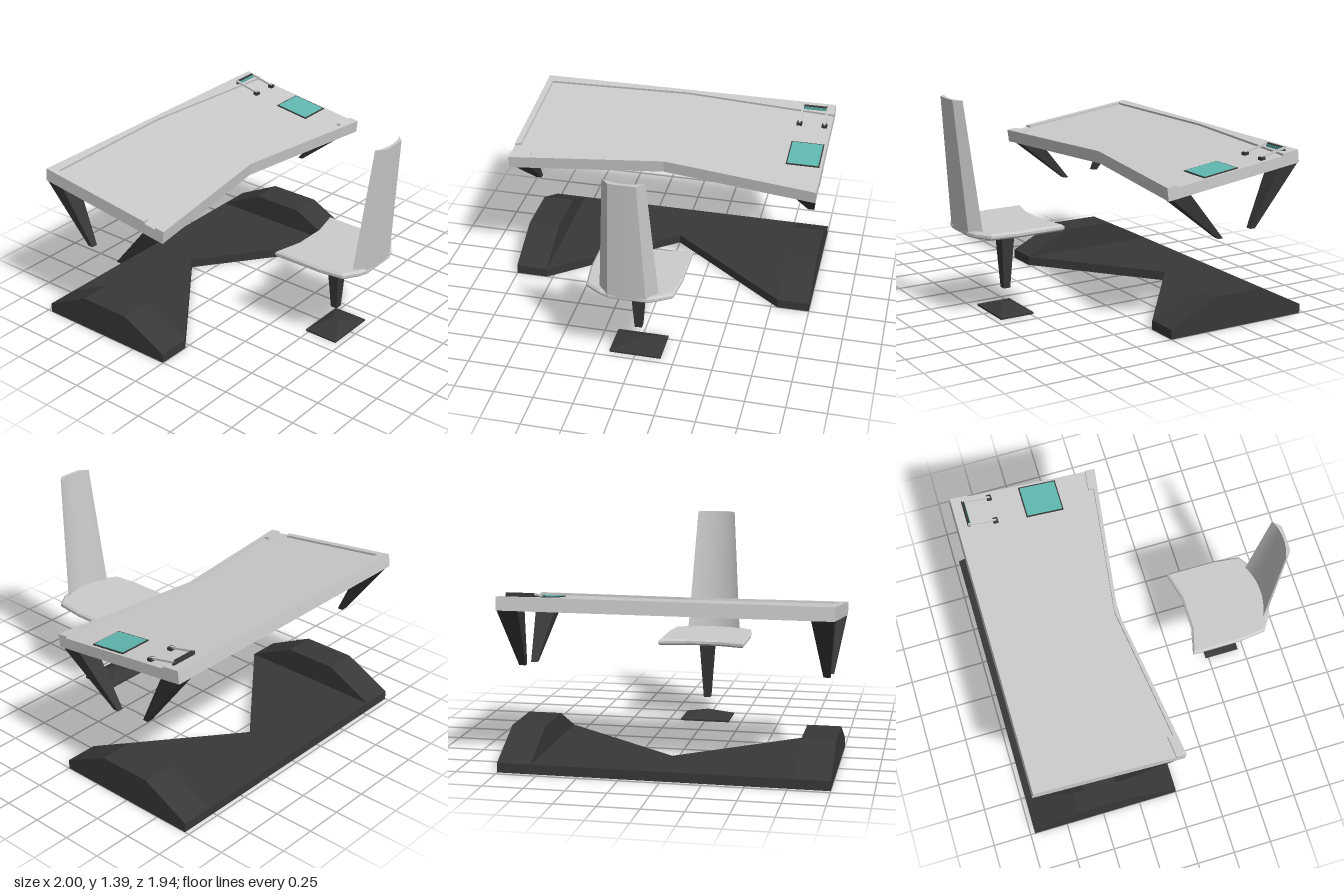
import * as THREE from 'three';
import { toCreasedNormals } from 'three/addons/utils/BufferGeometryUtils.js';

const grey = new THREE.MeshStandardMaterial({ color: 0xcccccc });
const dark = new THREE.MeshStandardMaterial({ color: 0x383838 });
const teal = new THREE.MeshStandardMaterial({ color: 0x5fb8b0 });

function add(parent, name, geometry, material) {
  const mesh = new THREE.Mesh(geometry, material);
  mesh.name = name;
  parent.add(mesh);
  return mesh;
}

// Plate from a plan outline of [x, z] points, rising from y by height
function plate(points, y, height, bevel = 0) {
  const shape = new THREE.Shape(points.map(([x, z]) => new THREE.Vector2(x, -z)));
  const geo = new THREE.ExtrudeGeometry(shape, {
    depth: height - 2 * bevel, bevelEnabled: bevel > 0, bevelThickness: bevel,
    bevelSize: bevel, bevelOffset: -bevel, bevelSegments: 1,
  });
  return geo.rotateX(-Math.PI / 2).translate(0, y + bevel, 0);
}

// Closed skin through sections of [x, y, z], counter-clockwise from above, lowest first
function loft(sections) {
  const pos = [], n = sections[0].length;
  for (let s = 0; s + 1 < sections.length; s++) {
    const a = sections[s], b = sections[s + 1];
    for (let i = 0; i < n; i++) {
      const j = (i + 1) % n;
      pos.push(...a[i], ...a[j], ...b[j], ...a[i], ...b[j], ...b[i]);
    }
  }
  const cap = (sec, flip) => {
    const flat = sec.map(([x, , z]) => new THREE.Vector2(x, -z));
    for (const [i, j, k] of THREE.ShapeUtils.triangulateShape(flat, [])) {
      pos.push(...sec[i], ...sec[flip ? k : j], ...sec[flip ? j : k]);
    }
  };
  cap(sections[0], true);
  cap(sections[sections.length - 1], false);
  const geo = new THREE.BufferGeometry();
  geo.setAttribute('position', new THREE.Float32BufferAttribute(pos, 3));
  return toCreasedNormals(geo, 0.4);
}

// Four-cornered section; y is a function of z
function rect(xa, xb, z0, z1, y) {
  const x0 = Math.min(xa, xb), x1 = Math.max(xa, xb);
  return [[x1, z1], [x1, z0], [x0, z0], [x0, z1]].map(([x, z]) => [x, y(z), z]);
}

function box(parent, name, material, size, at) {
  const mesh = add(parent, name, new THREE.BoxGeometry(...size), material);
  mesh.position.set(...at);
  return mesh;
}

function createBase() {
  const base = new THREE.Group();
  base.name = 'base';
  // floor plate with a V notch at the front
  add(base, 'basePlate', plate([[-1, 0], [-0.79, 0], [0, -0.62], [0.79, 0], [1, 0], [1, -0.97], [-1, -0.97]], 0, 0.06), dark);
  // chamfered end blocks
  const profile = [[0, 0], [0.97, 0], [0.97, 0.06], [0.66, 0.215], [0.31, 0.215], [0, 0.06]];
  for (const x of [-1, 0.79]) {
    const shape = new THREE.Shape(profile.map(p => new THREE.Vector2(...p)));
    const geo = new THREE.ExtrudeGeometry(shape, { depth: 0.21, bevelEnabled: false });
    add(base, 'baseBlock', geo.rotateY(Math.PI / 2).translate(x, 0, 0), dark);
  }
  return base;
}

function createDesktop() {
  const top = new THREE.Group();
  top.name = 'desktop';
  top.position.y = 0.941;
  top.rotation.x = 0.13;
  const rim = 0.014;
  add(top, 'desktopSlab', plate([[-1, 0.045], [0, -0.095], [1, 0.045], [1, -0.92], [-1, -0.92]], -0.083, 0.083 - rim), grey);
  // raised border: back and one side, then the front lip
  add(top, 'backRim', plate([[1, -0.92], [-1, -0.92], [-1, -0.105], [-0.96, -0.115], [-0.96, -0.855],
    [0, -0.885], [1, -0.805]], -rim, rim), grey);
  add(top, 'frontLip', plate([[-1, 0.045], [0, -0.095], [1, 0.045], [1, -0.02], [0.865, -0.035], [0.865, 0],
    [0, -0.115], [-0.865, 0], [-0.865, -0.035], [-1, -0.02]], -rim, rim), grey);
  // flat screen
  box(top, 'screenFrame', dark, [0.215, 0.006, 0.245], [0.875, -rim + 0.003, -0.352]);
  box(top, 'screen', teal, [0.2, 0.004, 0.23], [0.875, -rim + 0.006, -0.352]);
  // small lamp: two feet, two arms and a light bar
  for (const x of [0.79, 0.955]) {
    box(top, 'lampFoot', dark, [0.035, 0.02, 0.03], [x, -0.006, -0.675]);
    const arm = box(top, 'lampArm', grey, [0.012, 0.012, 0.185], [x, 0.01, -0.762]);
    arm.rotation.x = 0.1;
  }
  box(top, 'lampHousing', dark, [0.175, 0.032, 0.016], [0.872, 0.008, -0.848]);
  box(top, 'lampLight', teal, [0.165, 0.022, 0.006], [0.872, 0.008, -0.839]);
  return top;
}

function createLegs() {
  const legs = new THREE.Group();
  legs.name = 'legs';
  const under = z => 0.862 - 0.13 * z;
  for (const s of [-1, 1]) {
    add(legs, 'frontLeg', loft([
      rect(s * 0.915, s * 0.955, -0.395, -0.36, () => 0.56), rect(s * 0.865, s * 0.998, -0.12, 0.01, under)]), dark);
    add(legs, 'backLeg', loft([
      rect(s * 0.915, s * 0.955, -0.635, -0.6, () => 0.59), rect(s * 0.865, s * 0.998, -0.915, -0.785, under)]), dark);
  }
  return legs;
}

// Crescent section of the backrest, hollow towards the front
function crescent(w, y, z0, depth) {
  const pts = [[1, 0]];
  for (let i = 0; i <= 8; i++) {
    const u = 0.85 * (1 - i / 4);
    pts.push([u, 0.63 - 0.42 * (u / 0.85) ** 2]);
  }
  pts.push([-1, 0], [-0.65, 0.95], [-0.3, 1], [0.3, 1], [0.65, 0.95]);
  return pts.map(([u, v]) => [u * w, y, z0 + v * depth]);
}

function createChair() {
  const chair = new THREE.Group();
  chair.name = 'chair';
  const half = [[0.11, 0.37], [0.29, 0.325], [0.29, 0.65], [0.27, 0.82], [0.17, 0.885], [0.11, 0.905]];
  const outline = [...half, ...half.map(([x, z]) => [-x, z]).reverse()];
  add(chair, 'seat', plate(outline, 0.55, 0.04, 0.012), grey);
  add(chair, 'backrest', loft([crescent(0.183, 0.575, 0.833, 0.072), crescent(0.128, 1.395, 0.925, 0.048)]), grey);
  add(chair, 'stem', loft([
    rect(-0.023, 0.023, 0.57, 0.615, () => 0.15), rect(-0.05, 0.05, 0.545, 0.64, () => 0.555)]), dark);
  // low ridged floor pad
  add(chair, 'floorPad', loft([
    rect(-0.165, 0.165, 0.48, 0.71, () => 0), rect(-0.165, 0.165, 0.48, 0.71, () => 0.012),
    rect(-0.003, 0.003, 0.57, 0.62, () => 0.055)]), dark);
  return chair;
}

export function createModel() {
  const model = new THREE.Group();
  model.name = 'deskAndChair';
  model.add(createBase(), createDesktop(), createLegs(), createChair());
  return model;
}
